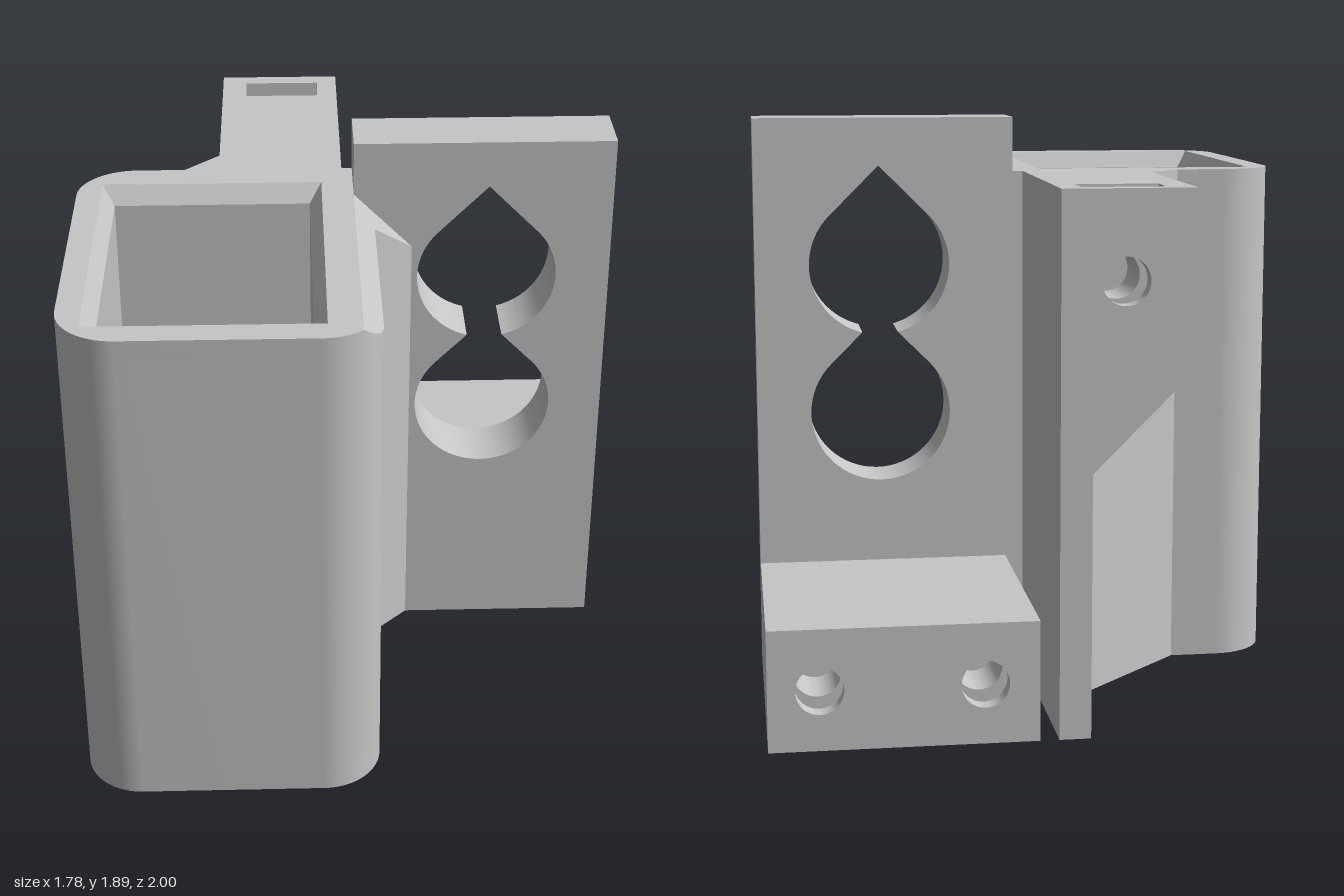
import * as THREE from 'three';
import { toCreasedNormals } from 'three/addons/utils/BufferGeometryUtils.js';

const TOP = 1.71, BACK = -0.18, R = 0.19;
const grey = new THREE.MeshStandardMaterial({ color: 0xc6c6c6 });
grey.name = 'grey';

const polygon = (pts) => new THREE.Shape(pts.map(([x, y]) => new THREE.Vector2(x, y)));

const rectangle = (x0, x1, y0, y1) => polygon([[x0, y0], [x1, y0], [x1, y1], [x0, y1]]);

const circle = (x, y, r) => new THREE.Path().absarc(x, y, r, 0, Math.PI * 2);

// Extrude an (x, y) shape from z0 to z1
function along(shape, z0, z1) {
  return new THREE.ExtrudeGeometry(shape, { depth: z1 - z0, bevelEnabled: false, curveSegments: 24 })
    .translate(0, 0, z0);
}

// Extrude an (x, -z) plan from y0 to y1
function upright(plan, y0, y1) {
  return new THREE.ExtrudeGeometry(plan, { depth: y1 - y0, bevelEnabled: false, curveSegments: 16 })
    .rotateX(-Math.PI / 2).translate(0, y0, 0);
}

// Move vertices by a rule
function reshape(geometry, rule) {
  const p = geometry.attributes.position, v = new THREE.Vector3();
  for (let i = 0; i < p.count; i++) {
    rule(v.fromBufferAttribute(p, i));
    p.setXYZ(i, v.x, v.y, v.z);
  }
  return geometry;
}

export function createModel() {
  const model = new THREE.Group();
  model.name = 'mountingBracket';
  const add = (name, geometry, parent = model) => {
    const mesh = new THREE.Mesh(toCreasedNormals(geometry, 0.5), grey);
    mesh.name = name;
    parent.add(mesh);
  };

  // Rectangular socket with rounded corners; the right wall strip is separate
  const cutX = 0.025;
  const cutAngle = Math.acos((cutX + 0.1) / R);
  const socketPlan = (flare) => {
    const s = new THREE.Shape();
    s.moveTo(cutX, -BACK);
    s.lineTo(-0.7, -BACK);
    s.absarc(-0.7, -0.01, R, Math.PI / 2, Math.PI);
    s.absarc(-0.7, -0.81, R, Math.PI, Math.PI * 1.5);
    s.absarc(-0.1, -0.81, R, Math.PI * 1.5, Math.PI * 2 - cutAngle);
    s.closePath();
    s.holes.push(rectangle(-0.77 - flare, -0.12 + flare, -0.87 - flare, 0.03 + flare));
    return s;
  };
  const rimY = TOP - 0.06, flare = 0.04;
  add('socketWalls', upright(socketPlan(0), 0, rimY));

  // Rim whose opening narrows downwards to the socket walls
  add('socketRim', reshape(upright(socketPlan(flare), rimY, TOP), (v) => {
    const inHole = v.x > -0.82 && v.x < -0.07 && v.z > -0.08 && v.z < 0.92;
    if (inHole && v.y < TOP - 0.01) {
      v.x += v.x < -0.4 ? flare : -flare;
      v.z += v.z < 0.4 ? flare : -flare;
    }
  }));

  // Right wall strip and front gusset, with a top sloping down at 45 degrees
  const strip = new THREE.Shape();
  strip.moveTo(0.09, -0.16);
  strip.lineTo(0.22, -0.03);
  strip.lineTo(cutX, -0.03);
  strip.absarc(-0.1, -0.81, R, -cutAngle, 0);
  strip.closePath();
  add('frontGusset', reshape(upright(strip, 0, TOP), (v) => {
    if (v.y > 1) v.y = TOP + cutX - v.x;
  }));

  // Upright plate with two overlapping teardrop openings
  const plate = rectangle(cutX, 0.89, 0, 1.89);
  const cx = 0.475, r = 0.235, upper = 1.4, lower = 0.9, neck = 0.257, q = Math.PI / 4;
  const opening = new THREE.Path();
  opening.moveTo(cx, upper + r * Math.SQRT2);
  opening.lineTo(cx + r * Math.cos(3 * q), upper + r * Math.sin(3 * q));
  opening.absarc(cx, upper, r, 3 * q, 6 * q - neck);
  opening.absarc(cx, lower, r, 3 * q, 9 * q);
  opening.absarc(cx, upper, r, 6 * q + neck, 9 * q);
  opening.closePath();
  plate.holes.push(opening);
  add('keyholePlate', along(plate, BACK, 0.03));

  // Block made of slices: bored end, nut slot, bored middle, solid root
  function boredBlock(name, outline, slotted, bores) {
    const block = new THREE.Group();
    block.name = name;
    const bored = () => {
      const s = polygon(outline);
      bores.forEach(([x, y]) => s.holes.push(circle(x, y, 0.075)));
      return s;
    };
    add('boredEnd', along(bored(), -1, -0.94), block);
    add('nutSlot', along(polygon(slotted), -0.94, -0.82), block);
    add('boredMiddle', along(bored(), -0.82, -0.62), block);
    add('solidRoot', along(polygon(outline), -0.62, BACK), block);
    model.add(block);
  }

  // Rear foot with two bolt holes and nut slots open at the bottom
  const footTop = 0.385, boltX = [0.22, 0.73], half = 0.13;
  const notches = boltX.flatMap((x) =>
    [[x - half, 0], [x - half, 0.32], [x + half, 0.32], [x + half, 0]]);
  boredBlock('rearFoot',
    [[0.05, 0], [0.89, 0], [0.89, footTop], [0.05, footTop]],
    [[0.05, 0], ...notches, [0.89, 0], [0.89, footTop], [0.05, footTop]],
    boltX.map((x) => [x, 0.19]));

  // Rear arm: thin web widening at 45 degrees to a bolt block, slot open on top
  const armSide = [[-0.425, TOP], [-0.425, 1.155], [-0.11, 0.84], [-0.11, 0], [-0.01, 0], [-0.01, TOP]];
  boredBlock('rearArm', armSide,
    [...armSide, [-0.08, TOP], [-0.08, 1.3], [-0.34, 1.3], [-0.34, TOP]],
    [[-0.21, 1.43]]);

  // Full-height gusset between the arm and the socket
  add('rearGusset', upright(polygon([[-0.11, 0.61], [-0.54, -BACK], [-0.11, -BACK]]), 0, TOP));

  return model;
}
